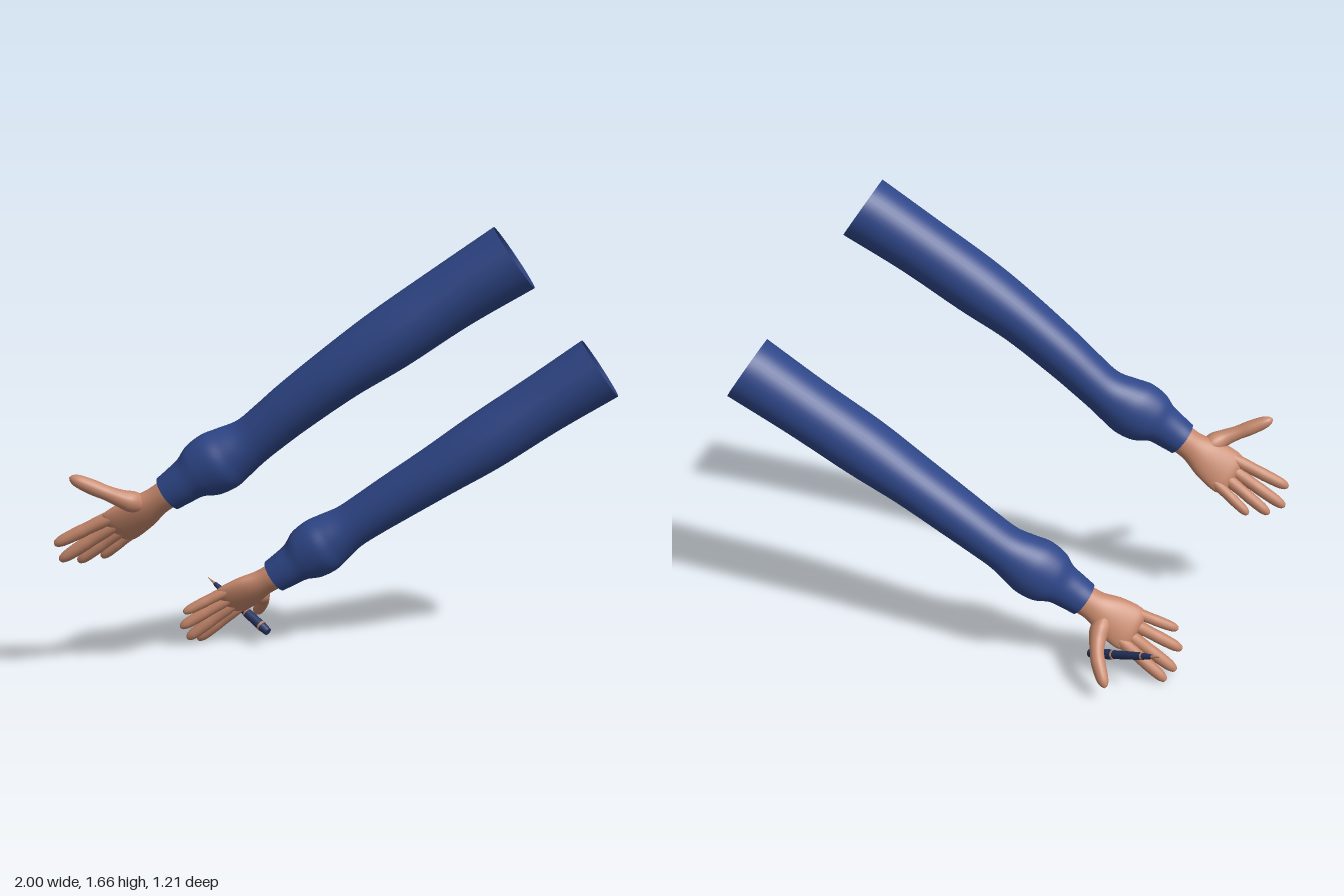
import * as THREE from 'three';

const mat = (name, color, side = THREE.FrontSide) => {
  const m = new THREE.MeshStandardMaterial({ color, side });
  m.name = name;
  return m;
};
const V = (a) => new THREE.Vector3(...a);

// Smooth skin over elliptical rings: rows are { p: centre, u, v: radii }, hint sets the u direction
function loft(rows, hint, rings, sides) {
  const centres = new THREE.CatmullRomCurve3(rows.map((r) => r.p), false, 'catmullrom', 0.5);
  const radii = new THREE.CatmullRomCurve3(rows.map((r) => new THREE.Vector3(r.u, r.v, 0)), false, 'catmullrom', 0.5);
  const axis = rows[rows.length - 1].p.clone().sub(rows[0].p).normalize();
  const U = hint.clone().addScaledVector(axis, -hint.dot(axis)).normalize();
  const W = axis.clone().cross(U);
  const pos = [], idx = [];
  for (let i = 0; i <= rings; i++) {
    const c = centres.getPoint(i / rings), r = radii.getPoint(i / rings);
    for (let j = 0; j < sides; j++) {
      const a = (j / sides) * Math.PI * 2;
      const p = c.clone().addScaledVector(U, Math.cos(a) * r.x).addScaledVector(W, Math.sin(a) * r.y);
      pos.push(p.x, p.y, p.z);
      if (i < rings) {
        const k = i * sides, n = (j + 1) % sides;
        idx.push(k + j, k + n, k + sides + j, k + n, k + sides + n, k + sides + j);
      }
    }
  }
  const g = new THREE.BufferGeometry();
  g.setAttribute('position', new THREE.Float32BufferAttribute(pos, 3));
  g.setIndex(idx);
  g.computeVertexNormals();
  return g;
}

// Sleeve rows: fraction along arm, sideways shift (u, v), radii (u, v)
const SLEEVE = [
  [0, 0, 0, 0.12, 0.12], [0.17, 0.01, 0, 0.111, 0.113], [0.34, 0.013, -0.004, 0.108, 0.113],
  [0.48, 0.013, 0, 0.096, 0.109], [0.62, 0, 0.012, 0.089, 0.1], [0.7, -0.012, 0.018, 0.085, 0.094],
  [0.76, -0.02, 0.02, 0.085, 0.091], [0.81, -0.016, 0.017, 0.1, 0.094], [0.85, -0.011, 0.011, 0.111, 0.099],
  [0.895, -0.006, 0.008, 0.104, 0.09], [0.93, 0, 0.003, 0.079, 0.077], [0.965, 0, 0, 0.071, 0.07],
  [1, 0, 0, 0.065, 0.065],
];

// Each arm: knuckle and tip pairs run from index to little finger
const ARMS = [
  {
    name: 'rightArm', top: [0.44, 1.57, 0.49], wrist: [-0.615, 0.74, -0.02], bow: 1,
    fingers: [
      [[-0.82, 0.65, -0.09], [-0.995, 0.55, -0.165]], [[-0.8, 0.618, -0.1], [-0.975, 0.482, -0.19]],
      [[-0.765, 0.595, -0.113], [-0.908, 0.468, -0.2]], [[-0.718, 0.58, -0.12], [-0.825, 0.478, -0.195]],
    ],
    thumb: [[-0.7, 0.7, -0.045], [-0.765, 0.725, -0.04], [-0.84, 0.758, -0.058], [-0.945, 0.808, -0.088]],
  },
  {
    name: 'leftArm', top: [0.92, 1.13, 0.225], wrist: [-0.148, 0.302, -0.302], bow: 0.2,
    fingers: [
      [[-0.268, 0.15, -0.408], [-0.41, 0.012, -0.485]], [[-0.3, 0.17, -0.395], [-0.458, 0.03, -0.46]],
      [[-0.32, 0.205, -0.375], [-0.492, 0.092, -0.425]], [[-0.33, 0.248, -0.357], [-0.486, 0.162, -0.393]],
    ],
    thumb: [[-0.21, 0.24, -0.35], [-0.175, 0.195, -0.395], [-0.152, 0.155, -0.455], [-0.152, 0.075, -0.54]],
  },
];

function buildArm(spec, cloth, skin) {
  const arm = new THREE.Group();
  arm.name = spec.name;
  const add = (name, geo, material) => {
    const m = new THREE.Mesh(geo, material);
    m.name = name;
    arm.add(m);
  };

  // Open sleeve with a gathered fold above the cuff
  const top = V(spec.top), wrist = V(spec.wrist);
  const axis = wrist.clone().sub(top).normalize();
  const U = new THREE.Vector3(axis.y, -axis.x, 0).normalize();
  const W = axis.clone().cross(U);
  const sleeve = SLEEVE.map(([s, du, dv, u, v]) => ({
    p: top.clone().lerp(wrist, s).addScaledVector(U, du * spec.bow).addScaledVector(W, dv), u, v,
  }));
  add('sleeve', loft(sleeve, U, 72, 40), cloth);

  // Palm from inside the cuff to the knuckles
  const bases = spec.fingers.map((f) => V(f[0]));
  const across = bases[3].clone().sub(bases[0]);
  const knuckles = bases.reduce((s, b) => s.add(b), new THREE.Vector3()).multiplyScalar(0.25);
  const palm = [
    [-0.3, 0.054, 0.05], [0, 0.055, 0.046], [0.25, 0.058, 0.041], [0.55, 0.077, 0.038],
    [0.85, 0.086, 0.032], [1.02, 0.083, 0.026], [1.1, 0.065, 0.015], [1.13, 0, 0],
  ].map(([s, u, v]) => ({ p: wrist.clone().lerp(knuckles, s), u, v }));
  add('palm', loft(palm, across, 40, 28), skin);

  // Fingers, rooted a little inside the palm
  const shape = [[0, 0.9], [0.2, 1.02], [0.45, 0.95], [0.6, 0.97], [0.85, 0.86], [0.95, 0.62], [0.985, 0.36], [1, 0]];
  const sizes = [0.024, 0.0245, 0.0235, 0.021];
  spec.fingers.forEach((f, i) => {
    const tip = V(f[1]), base = bases[i].clone().lerp(wrist, 0.16);
    const rows = shape.map(([s, k]) => ({ p: base.clone().lerp(tip, s), u: sizes[i] * k, v: sizes[i] * k }));
    add(['indexFinger', 'middleFinger', 'ringFinger', 'littleFinger'][i], loft(rows, across, 28, 16), skin);
  });

  // Thumb with a thick root
  const path = new THREE.CatmullRomCurve3(spec.thumb.map(V));
  const thumb = [
    [0, 0.03], [0.2, 0.038], [0.4, 0.031], [0.6, 0.026], [0.75, 0.027], [0.9, 0.023], [0.97, 0.014], [1, 0],
  ].map(([s, r]) => ({ p: path.getPoint(s), u: r, v: r }));
  add('thumb', loft(thumb, across, 28, 16), skin);
  return arm;
}

// Pen built along +y, then turned into place under the palm
function buildPen(ink, trim) {
  const pen = new THREE.Group();
  pen.name = 'pen';
  const parts = [
    ['penEnd', 0, 0.035, 0.015, 0.019, ink], ['endBand', 0.035, 0.044, 0.02, 0.02, trim],
    ['cap', 0.044, 0.12, 0.019, 0.018, ink], ['capBand', 0.12, 0.127, 0.0185, 0.0185, trim],
    ['barrel', 0.127, 0.265, 0.016, 0.0135, ink], ['gripBand', 0.265, 0.273, 0.014, 0.0135, trim],
    ['grip', 0.273, 0.315, 0.0125, 0.008, ink], ['nib', 0.315, 0.357, 0.006, 0.001, trim],
  ];
  for (const [name, y0, y1, r0, r1, material] of parts) {
    const m = new THREE.Mesh(new THREE.CylinderGeometry(r1, r0, y1 - y0, 20), material);
    m.name = name;
    m.position.y = (y0 + y1) / 2;
    pen.add(m);
  }
  const end = V([-0.17, 0.07, -0.325]), tip = V([-0.333, 0.222, -0.605]);
  pen.position.copy(end);
  pen.quaternion.setFromUnitVectors(new THREE.Vector3(0, 1, 0), tip.sub(end).normalize());
  return pen;
}

export function createModel() {
  const cloth = mat('blue cloth', 0x2f4789, THREE.DoubleSide);
  const skin = mat('skin', 0xc4866a);
  const ink = mat('navy pen', 0x26345f);
  const trim = mat('copper trim', 0xb98468);
  const model = new THREE.Group();
  model.name = 'armsWithPen';
  for (const spec of ARMS) model.add(buildArm(spec, cloth, skin));
  model.add(buildPen(ink, trim));
  return model;
}
